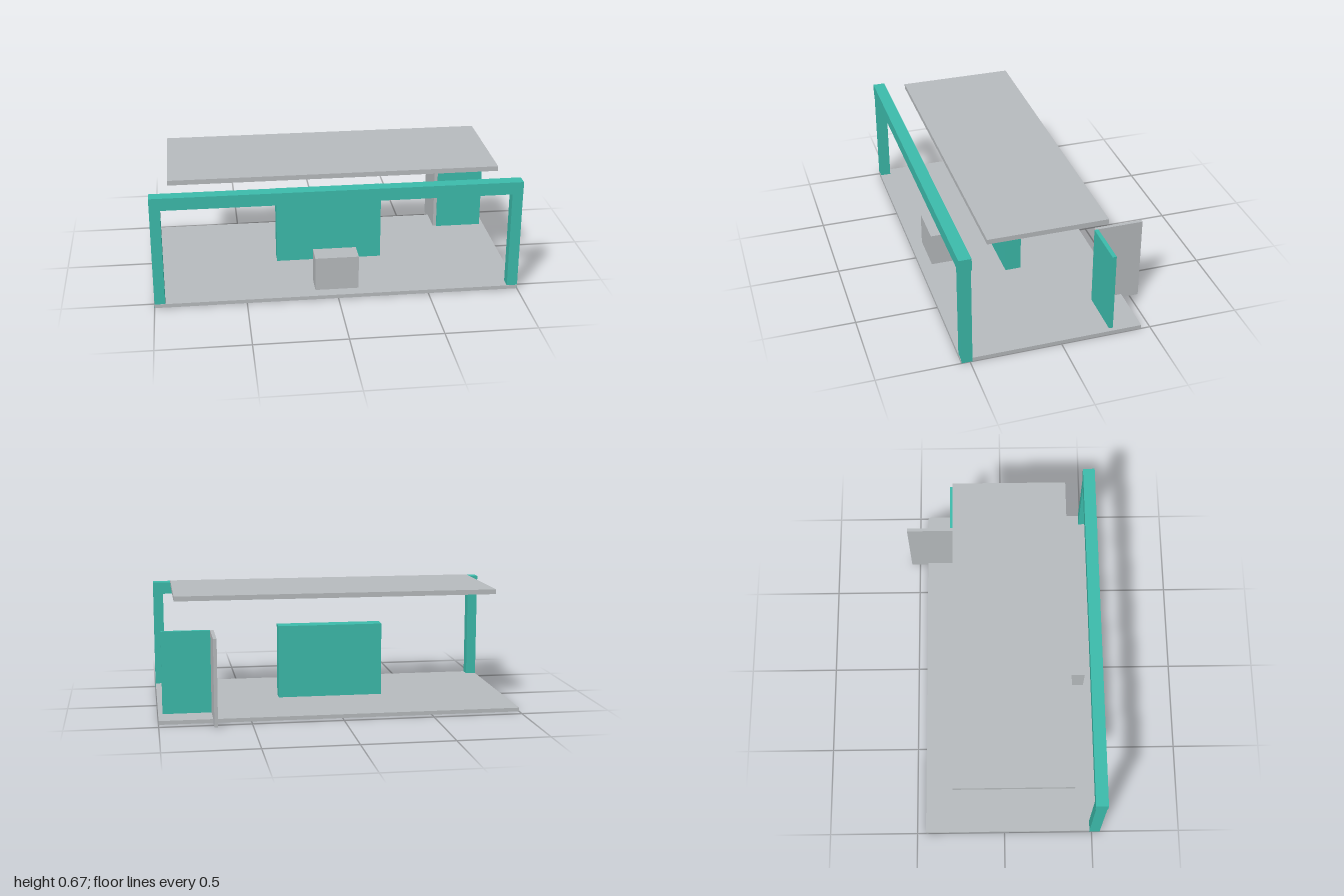
import * as THREE from 'three';

export function createModel() {
  const group = new THREE.Group();
  const grey = new THREE.MeshStandardMaterial({ color: 0xb9bdc0 });
  grey.name = 'light grey';
  const teal = new THREE.MeshStandardMaterial({ color: 0x3dbdad });
  teal.name = 'teal';

  // Box given by its extents along each axis
  const slab = (name, material, [x0, x1], [y0, y1], [z0, z1]) => {
    const mesh = new THREE.Mesh(new THREE.BoxGeometry(x1 - x0, y1 - y0, z1 - z0), material);
    mesh.position.set((x0 + x1) / 2, (y0 + y1) / 2, (z0 + z1) / 2);
    mesh.name = name;
    group.add(mesh);
  };

  const floorTop = 0.022;

  // Platform and floating canopy
  slab('floor', grey, [-0.999, 0.999], [0.001, floorTop], [-0.45, 0.549]);
  slab('canopy', grey, [-0.9, 0.9], [0.64, 0.667], [-0.275, 0.374]);

  // Entrance portal: two posts reaching through the floor and a beam
  slab('leftPost', teal, [0.942, 1], [0, 0.572], [0.487, 0.547]);
  slab('rightPost', teal, [-1, -0.942], [0, 0.572], [0.487, 0.547]);
  slab('portalBeam', teal, [-1, 1], [0.572, 0.641], [0.482, 0.55]);

  // Central display wall with the counter before it
  slab('displayWall', teal, [-0.3, 0.3], [floorTop, 0.44], [0.004, 0.094]);
  slab('counter', grey, [-0.12, 0.12], [floorTop, 0.213], [0.358, 0.48]);

  // Corner storage walls; the side wall runs past the back of the floor
  slab('storageFrontWall', teal, [0.707, 0.975], [floorTop, 0.48], [-0.297, -0.275]);
  slab('storageSideWall', grey, [0.688, 0.707], [0, 0.48], [-0.55, -0.282]);

  return group;
}
